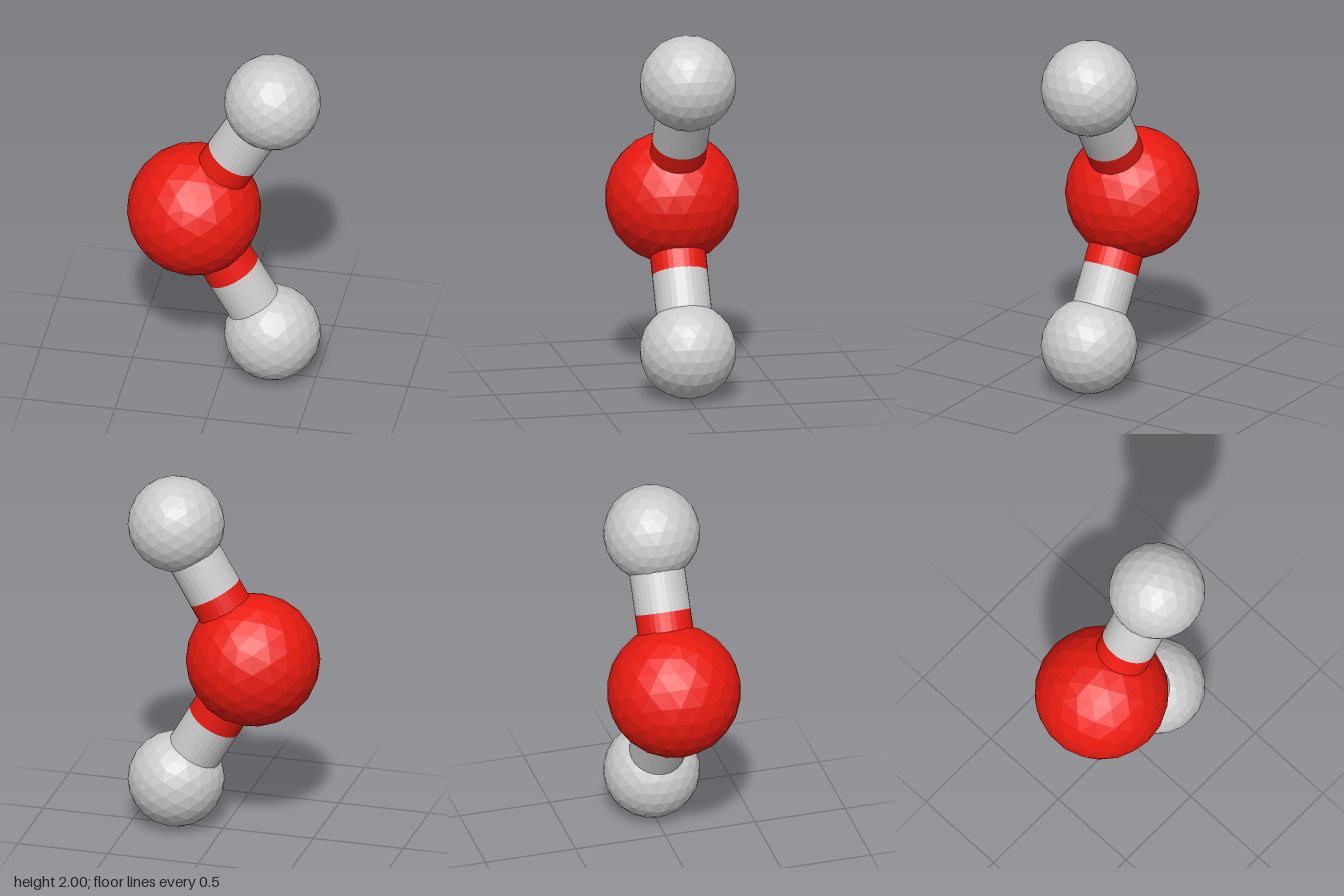
import * as THREE from 'three';

export function createModel() {
  const model = new THREE.Group();
  const red = new THREE.MeshStandardMaterial({ color: 0xea1a10, flatShading: true });
  const grey = new THREE.MeshStandardMaterial({ color: 0xcccccc, flatShading: true });

  const centre = new THREE.Vector3(-0.165, 1, 0);
  const up = new THREE.Vector3(0, 1, 0);

  // Faceted ball
  function addBall(name, position, radius, material) {
    const ball = new THREE.Mesh(new THREE.IcosahedronGeometry(radius, 3), material);
    ball.name = name;
    ball.position.copy(position);
    model.add(ball);
  }

  // Half of a connecting rod, running from a to b
  function addRod(name, a, b, material) {
    const along = b.clone().sub(a);
    const rod = new THREE.Mesh(
      new THREE.CylinderGeometry(0.15, 0.15, along.length(), 32, 1, true), material);
    rod.name = name;
    rod.position.copy(a).add(b).multiplyScalar(0.5);
    rod.quaternion.setFromUnitVectors(up, along.normalize());
    model.add(rod);
  }

  addBall('centralAtom', centre, 0.36, red);

  // Upper and lower outer atoms, each joined by a two-coloured bond
  for (const [label, side] of [['upper', 1], ['lower', -1]]) {
    const outer = new THREE.Vector3(0.262, 1 + side * 0.74, 0);
    const middle = centre.clone().lerp(outer, 0.5);
    addBall(label + 'Atom', outer, 0.26, grey);
    addRod(label + 'BondInner', centre, middle, red);
    addRod(label + 'BondOuter', middle, outer, grey);
  }

  return model;
}
